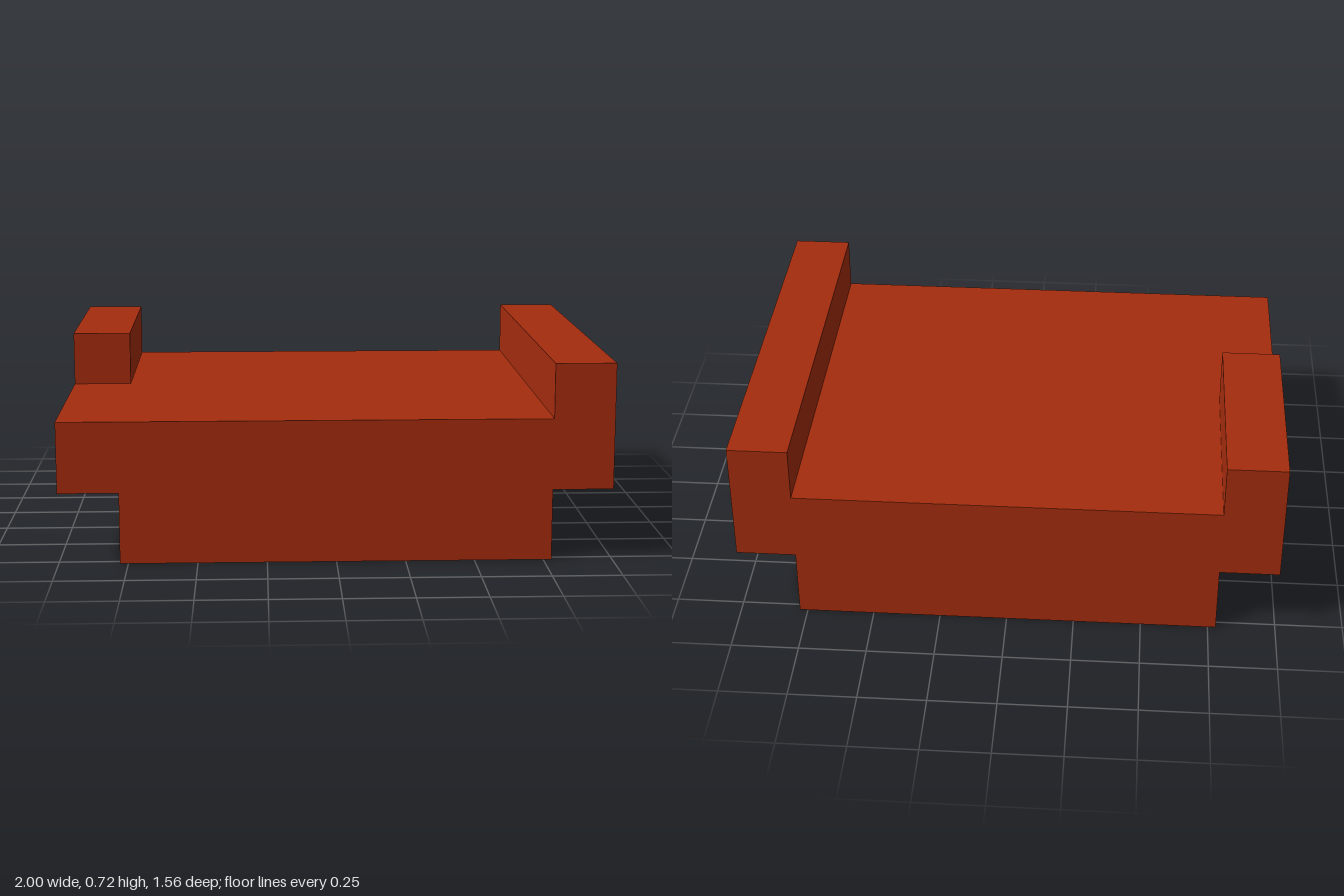
import * as THREE from 'three';

const HALF = 1, BASE = 0.78, DEPTH = 1.56;   // half widths and length
const WING = 0.26, DECK = 0.52, TOP = 0.72;  // heights

export function createModel() {
  const model = new THREE.Group();
  const rust = new THREE.MeshStandardMaterial({ color: 0xa52c0e });
  rust.name = 'rust red';

  function add(name, geometry) {
    const mesh = new THREE.Mesh(geometry, rust);
    mesh.name = name;
    model.add(mesh);
    return mesh;
  }

  // Deck on a narrower base, with the full-length rail on the left side
  const profile = new THREE.Shape([
    [-BASE, 0], [BASE, 0], [BASE, WING], [HALF, WING], [HALF, TOP], [BASE, TOP],
    [BASE, DECK], [-HALF, DECK], [-HALF, WING], [-BASE, WING],
  ].map(([x, y]) => new THREE.Vector2(x, y)));
  const deck = new THREE.ExtrudeGeometry(profile, { depth: DEPTH, bevelEnabled: false });
  deck.translate(0, 0, -DEPTH / 2);

  // Soften the shading where the overhang meets the side walls
  const pos = deck.attributes.position, nor = deck.attributes.normal;
  for (let i = 0; i < pos.count; i++) {
    if (Math.abs(pos.getY(i) - WING) < 0.001 && Math.abs(nor.getZ(i)) < 0.5) {
      nor.setXYZ(i, Math.sign(pos.getX(i)) * Math.SQRT1_2, -Math.SQRT1_2, 0);
    }
  }
  add('deckWithLongRail', deck);

  // Short rail along the back half of the right side
  add('shortRail', new THREE.BoxGeometry(HALF - BASE, TOP - DECK, DEPTH / 2))
    .position.set(-(HALF + BASE) / 2, (TOP + DECK) / 2, -DEPTH / 4);

  return model;
}
